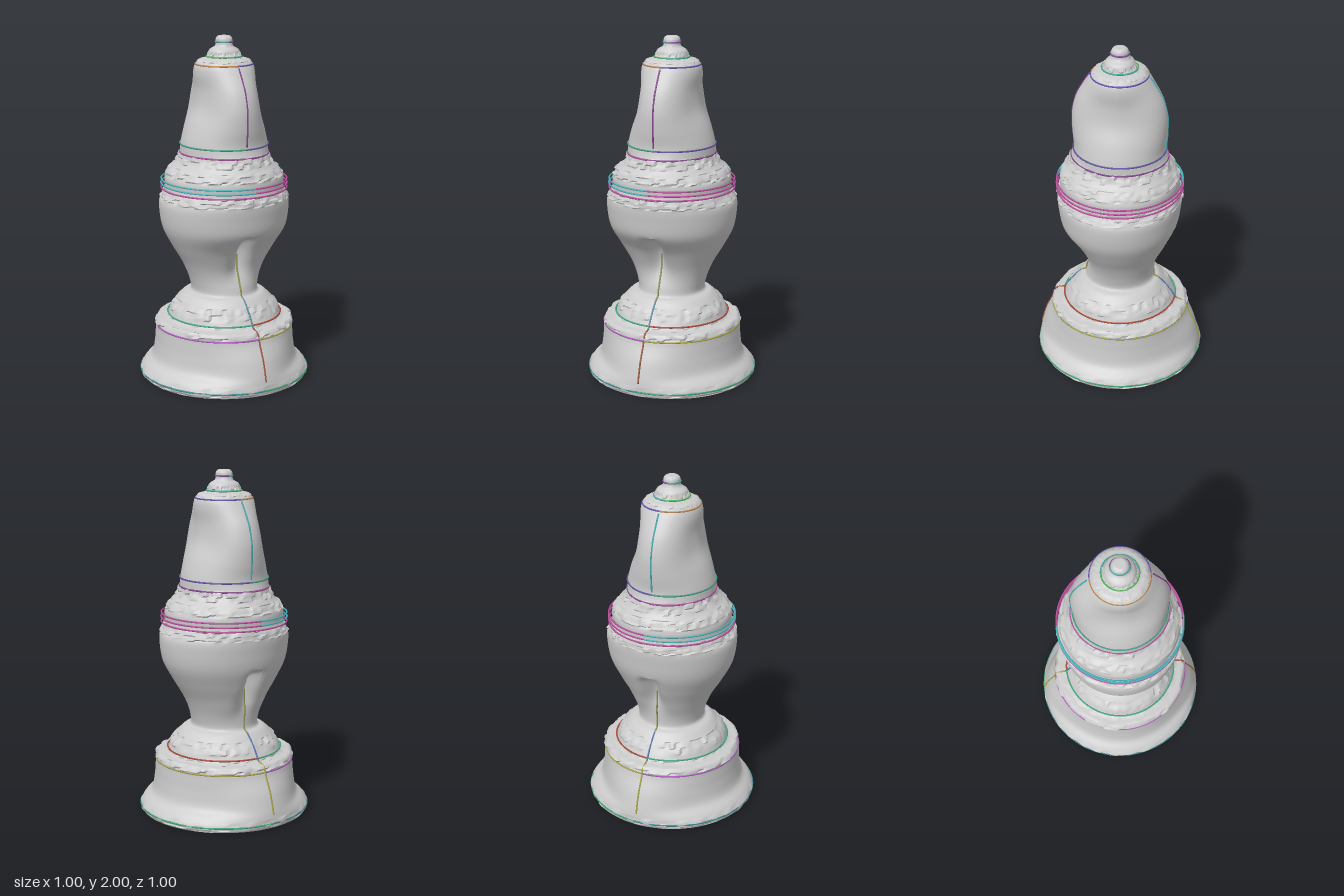
import * as THREE from 'three';
import { toCreasedNormals } from 'three/addons/utils/BufferGeometryUtils.js';

// Each row: side radius (x), height, front/back radius (z)
const PROFILE = [
  [0, 0.068, 0], [0.24, 0.065, 0.24], [0.32, 0.048, 0.32], [0.38, 0.018, 0.38], [0.43, 0.004, 0.43],
  [0.485, 0, 0.485], [0.497, 0.03, 0.497], [0.475, 0.07, 0.493], [0.43, 0.115, 0.484], [0.412, 0.2, 0.458],
  [0.406, 0.28, 0.42], [0.398, 0.345, 0.396], [0.338, 0.36, 0.345], [0.312, 0.42, 0.306],
  [0.27, 0.47, 0.265], [0.235, 0.5, 0.235], [0.195, 0.515, 0.205], [0.205, 0.58, 0.2],
  [0.245, 0.68, 0.225], [0.31, 0.79, 0.275], [0.365, 0.9, 0.338], [0.382, 1.0, 0.356],
  [0.38, 1.06, 0.362], [0.36, 1.1, 0.36], [0.345, 1.14, 0.345], [0.345, 1.19, 0.345],
  [0.32, 1.24, 0.33], [0.275, 1.28, 0.3], [0.255, 1.33, 0.28], [0.25, 1.39, 0.262],
  [0.222, 1.49, 0.27], [0.178, 1.6, 0.27], [0.166, 1.7, 0.245], [0.174, 1.79, 0.195],
  [0.168, 1.835, 0.165], [0.145, 1.865, 0.14], [0.1, 1.88, 0.1], [0.085, 1.92, 0.078],
  [0.05, 1.945, 0.055], [0.046, 1.985, 0.046], [0.03, 2, 0.03], [0, 2, 0],
];
const LEDGES = [0.03, 0.34, 0.43, 1.1, 1.23, 1.31, 1.88];

// Deterministic pseudo-random value for chipped ledges
const hash = (a, b) => {
  const s = Math.sin(a * 127.1 + b * 311.7) * 43758.5453;
  return s - Math.floor(s) - 0.5;
};

// Radius at a profile point and angle (0 = front): ridges, leg stance and leg groove
function radiusAt(p, angle) {
  const sharpness = p.y < 0.5 ? 7 : p.y < 1.3 ? 2 : 3.2;
  const cos = Math.cos(angle);
  let r = p.x + (p.z - p.x) * Math.pow(Math.abs(cos), sharpness);
  if (p.y > 0.52 && p.y < 0.95) {
    const lean = THREE.MathUtils.smoothstep(p.y, 0.52, 0.68) * (1 - THREE.MathUtils.smoothstep(p.y, 0.76, 0.92));
    r += lean * (cos > 0 ? -0.03 : 0.02) * cos * cos;
    const rise = THREE.MathUtils.smoothstep(p.y, 0.54, 0.82);
    const arch = 1 - THREE.MathUtils.smoothstep(p.y, 0.85, 0.9);
    const across = Math.sin(angle) * r / (0.04 + 0.03 * (1 - rise));
    r -= 0.09 * rise * arch * Math.exp(-across * across);
  }
  return r;
}

// Surface swept through all profile rows
function bodyGeometry(rows, columns) {
  const curve = new THREE.CatmullRomCurve3(PROFILE.map((p) => new THREE.Vector3(...p)), false, 'centripetal');
  const position = [], index = [];
  for (let i = 0; i <= rows; i++) {
    const p = curve.getPoint(i / rows);
    p.x = Math.max(0, p.x);
    p.z = Math.max(0, p.z);
    const outside = i / rows > 5 / (PROFILE.length - 1);
    const chipped = outside && p.x > 0.09 && LEDGES.some((y) => Math.abs(p.y - y) < 0.025);
    const chip = p.y < 0.1 || p.y > 1.8 ? 0.01 : 0.02;
    for (let j = 0; j <= columns; j++) {
      const angle = (j / columns) * Math.PI * 2;
      let r = radiusAt(p, angle);
      if (chipped) r += chip * hash(Math.floor((j % columns) / 2), Math.floor(i / 3));
      position.push(r * Math.sin(angle), THREE.MathUtils.clamp(p.y, 0, 2), r * Math.cos(angle));
    }
  }
  for (let i = 0; i < rows; i++) {
    for (let j = 0; j < columns; j++) {
      const a = i * (columns + 1) + j, b = a + 1, d = a + columns + 1, c = d + 1;
      index.push(a, b, c, a, c, d);
    }
  }
  const g = new THREE.BufferGeometry();
  g.setAttribute('position', new THREE.Float32BufferAttribute(position, 3));
  g.setIndex(index);
  return toCreasedNormals(g, 0.6);
}

// Profile interpolated at a height on the outside
function profileAt(y) {
  let i = 5;
  while (i < PROFILE.length - 2 && PROFILE[i + 1][1] < y) i++;
  const a = new THREE.Vector3(...PROFILE[i]), b = new THREE.Vector3(...PROFILE[i + 1]);
  return a.lerp(b, THREE.MathUtils.clamp((y - a.y) / (b.y - a.y || 1), 0, 1));
}

export function createModel() {
  const model = new THREE.Group();
  model.name = 'turnedPiece';
  const add = (name, geometry, color) => {
    const mesh = new THREE.Mesh(geometry, new THREE.MeshStandardMaterial({ color }));
    mesh.name = name;
    model.add(mesh);
  };
  const seam = (points) => new THREE.TubeGeometry(new THREE.CatmullRomCurve3(points), 40, 0.005, 5);

  add('body', bodyGeometry(240, 120), 0xcccccc);

  // Thin ring seams, each in two halves: height, stand-off, left colour, right colour
  const rings = [
    [0.03, 0, 0x3fa878, 0x3f8f98], [0.31, 0.002, 0xa8a844, 0xb45cc4],
    [0.375, 0.003, 0xb0503c, 0x48b088], [1.13, 0.016, 0xc050a0, 0xc050a0],
    [1.155, 0.021, 0xc050a0, 0x50b8c0], [1.18, 0.019, 0xc050a0, 0x50b8c0],
    [1.385, 0.003, 0x6658a8, 0x48a088], [1.335, 0, 0x884890, 0xb050a0],
    [1.84, 0, 0x6658b8, 0xc08850], [1.883, 0.002, 0x48b098, 0x58b860], [1.965, 0.001, 0x8850a8, 0x48a8a0],
  ];
  for (const [y, gap, left, right] of rings) {
    const p = profileAt(y);
    for (const side of [1, -1]) {
      const points = [];
      for (let i = 0; i <= 24; i++) {
        const angle = (side * Math.PI * i) / 24;
        const r = radiusAt(p, angle) + gap;
        points.push(new THREE.Vector3(r * Math.sin(angle), y, r * Math.cos(angle)));
      }
      add(side > 0 ? 'ringSeamLeft' : 'ringSeamRight', seam(points), side > 0 ? left : right);
    }
  }

  // Thin vertical seams along the front and back ridges
  const seams = [
    [0.08, 0.36, 0xa05840, 0xa8a844], [0.36, 0.5, 0x5890a8, 0x5878b0],
    [0.5, 0.76, 0x98985a, 0x98985a], [1.4, 1.83, 0x884890, 0x48b0b8],
  ];
  for (const [y0, y1, front, back] of seams) {
    for (const side of [1, -1]) {
      const points = [];
      for (let i = 0; i <= 14; i++) {
        const p = profileAt(y0 + ((y1 - y0) * i) / 14);
        const r = radiusAt(p, side > 0 ? 0 : Math.PI) + 0.002;
        points.push(new THREE.Vector3(0, p.y, side * r));
      }
      add(side > 0 ? 'frontSeam' : 'backSeam', seam(points), side > 0 ? front : back);
    }
  }
  return model;
}
